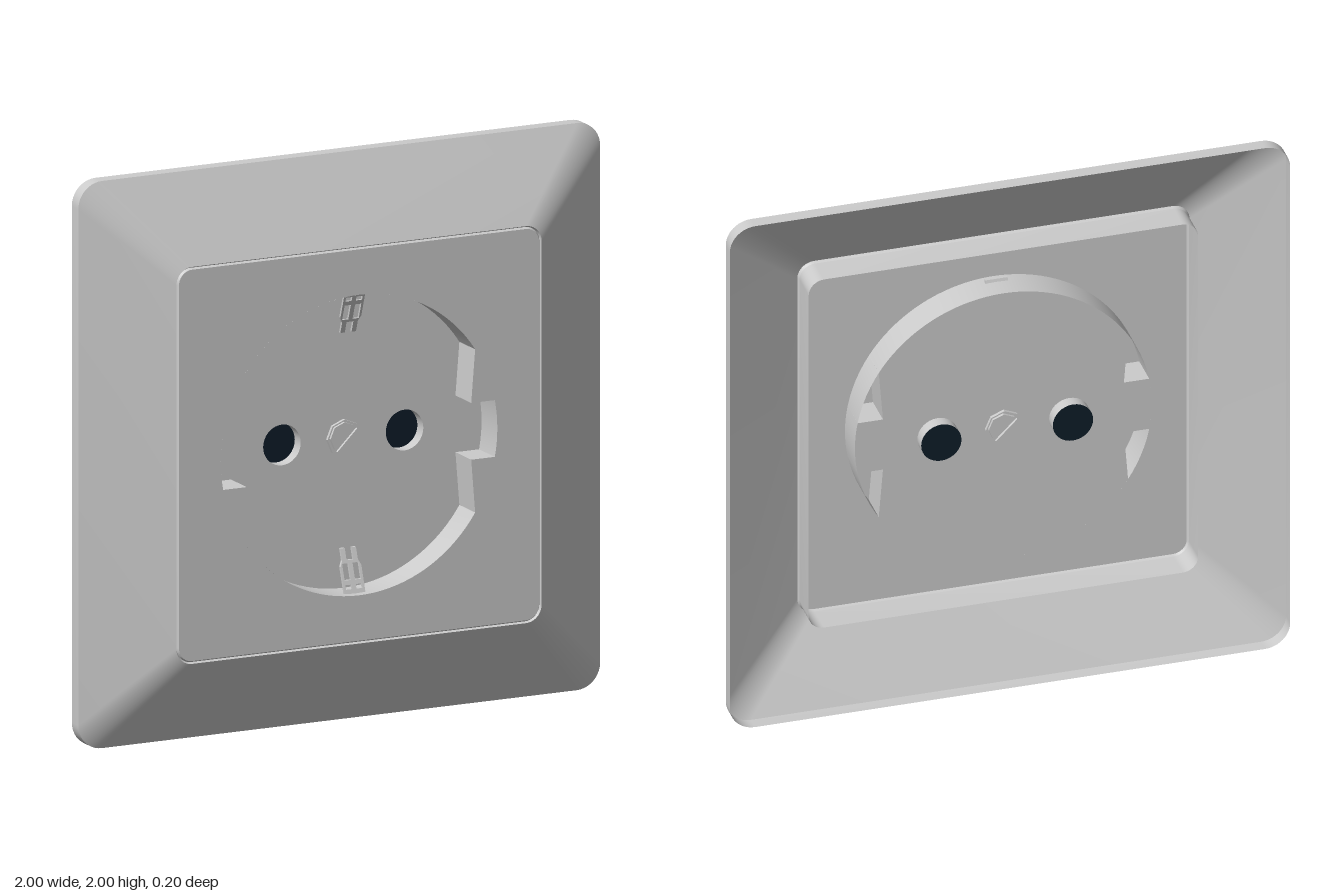
import * as THREE from 'three';
import { toCreasedNormals } from 'three/addons/utils/BufferGeometryUtils.js';

const FRONT = 0.1, FLOOR = -0.02, R = 0.53, PIN_X = 0.235, PIN_R = 0.072;
const grey = new THREE.MeshStandardMaterial({ color: 0xcccccc, side: THREE.DoubleSide });
const dark = new THREE.MeshStandardMaterial({ color: 0x0d1c28, side: THREE.DoubleSide });

function mesh(name, geometry, material = grey) {
  const m = new THREE.Mesh(geometry, material);
  m.name = name;
  return m;
}

function arc(cx, cy, r, a0, a1, n) {
  return Array.from({ length: n + 1 }, (_, i) => {
    const a = a0 + (a1 - a0) * i / n;
    return new THREE.Vector2(cx + r * Math.cos(a), cy + r * Math.sin(a));
  });
}

const circle = (x, y, r, n) => arc(x, y, r, 0, Math.PI * 2, n).slice(0, n);

// Square with rounded corners, counter-clockwise
function roundedSquare(h, r) {
  const c = h - r, pts = [];
  [[c, c], [-c, c], [-c, -c], [c, -c]].forEach(([x, y], i) =>
    pts.push(...arc(x, y, r, i * Math.PI / 2, (i + 1) * Math.PI / 2, 10)));
  return pts;
}

// Open skin through closed rings, each given as [points, z]
function loft(rings, crease = 0.5) {
  const n = rings[0][0].length, pos = [], idx = [];
  for (const [pts, z] of rings) for (const p of pts) pos.push(p.x, p.y, z);
  for (let k = 0; k < rings.length - 1; k++) {
    for (let i = 0; i < n; i++) {
      const a = k * n + i, b = k * n + (i + 1) % n;
      idx.push(a, b, b + n, a, b + n, a + n);
    }
  }
  const g = new THREE.BufferGeometry();
  g.setAttribute('position', new THREE.Float32BufferAttribute(pos, 3));
  g.setIndex(idx);
  return toCreasedNormals(g, crease);
}

// Flat sheet with holes at height z
function sheet(outline, holes, z) {
  const s = new THREE.Shape(outline);
  s.holes = holes.map((h) => new THREE.Path(h));
  return new THREE.ShapeGeometry(s).translate(0, 0, z);
}

// Circular well outline with four guide blocks cut into it
function wellOutline() {
  const lo = Math.asin(0.1 / R), hi = Math.acos(0.445 / R), P = Math.PI;
  const v = (x, y) => new THREE.Vector2(x, y);
  return [
    ...arc(0, 0, R, -lo, lo, 8), v(0.43, 0.1),
    ...arc(0, 0, R, hi, P - hi, 36), v(-0.43, 0.1),
    ...arc(0, 0, R, P - lo, P + lo, 8), v(-0.43, -0.1),
    ...arc(0, 0, R, P + hi, 2 * P - hi, 36), v(0.43, -0.1),
  ];
}

// Slotted octagonal screw head
function screw() {
  const g = new THREE.Group();
  g.name = 'centreScrew';
  const extrude = (pts, depth) =>
    new THREE.ExtrudeGeometry(new THREE.Shape(pts), { depth, bevelEnabled: false });
  g.add(mesh('screwBase', extrude(circle(0, 0, 0.066, 8), 0.012)));
  const gap = 0.007;
  for (const s of [0, 1]) {
    const half = arc(0, gap, 0.054, 0, Math.PI, 4);
    const top = mesh('screwHalf', extrude(half, 0.01));
    top.position.z = 0.012;
    top.rotation.z = Math.PI / 4 + s * Math.PI;
    g.add(top);
  }
  return g;
}

// Forked earth contact leaning from the well wall toward the floor
function earthClip() {
  const box = (x0, x1, y0, y1) => [[x0, y0], [x1, y0], [x1, y1], [x0, y1]]
    .map(([x, y]) => new THREE.Vector2(x, y));
  const body = new THREE.Shape([[-0.04, 0.54], [-0.04, 0.44], [-0.03, 0.42], [-0.03, 0.38],
    [-0.013, 0.38], [-0.013, 0.42], [0.013, 0.42], [0.013, 0.38], [0.03, 0.38], [0.03, 0.42],
    [0.04, 0.44], [0.04, 0.54]].map(([x, y]) => new THREE.Vector2(x, y)));
  for (const s of [-1, 1]) {
    for (const [y0, y1] of [[0.43, 0.485], [0.5, 0.515]]) {
      body.holes.push(new THREE.Path(box(s * 0.02 - 0.012, s * 0.02 + 0.012, y0, y1)));
    }
  }
  const g = new THREE.ExtrudeGeometry(body, { depth: 0.01, bevelEnabled: false });
  // shear so the tips sit deeper than the root
  const p = g.attributes.position;
  for (let i = 0; i < p.count; i++) p.setZ(i, p.getZ(i) + 0.06 - (0.53 - p.getY(i)) * 0.35);
  g.computeVertexNormals();
  return mesh('earthClip', g);
}

export function createModel() {
  const model = new THREE.Group();
  model.name = 'wallSocket';
  const outline = wellOutline();
  const pins = [-PIN_X, PIN_X].map((x) => circle(x, 0, PIN_R, 32));

  // Sloping cover frame, open at the back
  model.add(mesh('coverFrame', loft([
    [roundedSquare(1, 0.09), -0.1], [roundedSquare(1, 0.09), -0.05],
    [roundedSquare(0.7, 0.06), FRONT], [roundedSquare(0.695, 0.055), 0.09],
  ], 0.4)));

  // Centre plate with its skirt
  model.add(mesh('plateSkirt', loft([
    [roundedSquare(0.695, 0.055), FLOOR], [roundedSquare(0.695, 0.055), 0.092],
    [roundedSquare(0.69, 0.05), FRONT],
  ])));
  model.add(mesh('centrePlate', sheet(roundedSquare(0.69, 0.05), [outline], FRONT)));

  // Round well, guide blocks and floor
  model.add(mesh('wellWall', loft([[circle(0, 0, R, 96), FLOOR], [circle(0, 0, R, 96), FRONT]])));
  model.add(mesh('guideBlocks', loft([[outline, FLOOR], [outline, FRONT]])));
  model.add(mesh('wellFloor', sheet(outline, pins, FLOOR)));

  // Pin holes with dark bottoms
  for (const pin of pins) {
    model.add(mesh('pinSleeve', loft([[pin, FLOOR - 0.045], [pin, FLOOR]])));
    model.add(mesh('pinHoleBottom', sheet(pin, [], FLOOR - 0.045), dark));
  }

  // Screw, seen on both faces of the floor
  for (const s of [0, 1]) {
    const head = screw();
    head.position.z = FLOOR;
    head.rotation.y = s * Math.PI;
    model.add(head);
  }

  // Earth contacts at top and bottom
  for (const s of [0, 1]) {
    const clip = earthClip();
    clip.rotation.z = s * Math.PI;
    model.add(clip);
  }

  model.children.forEach((c) => { c.position.y += 1; });
  return model;
}
